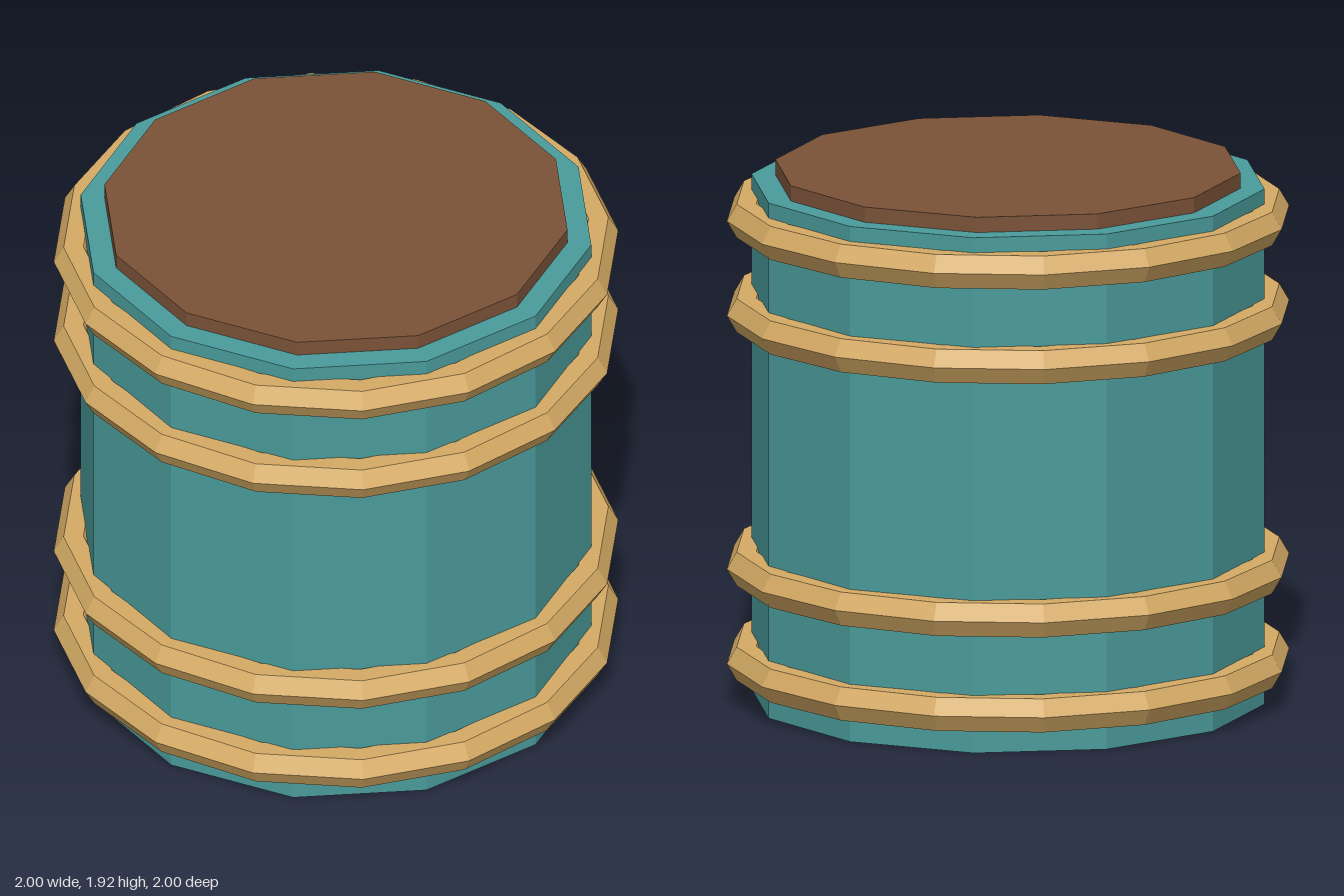
import * as THREE from 'three';

const material = (color) => new THREE.MeshStandardMaterial({ color, flatShading: true });

export function createModel() {
  const group = new THREE.Group();
  const teal = material(0x4a9a9a);
  const brown = material(0x7a5238);
  const gold = material(0xd4aa64);

  const add = (name, geometry, mat, y) => {
    const mesh = new THREE.Mesh(geometry, mat);
    mesh.name = name;
    mesh.position.y = y;
    group.add(mesh);
  };

  // Twelve-sided barrel body and the smaller lid on top
  const bodyHeight = 1.863, lidHeight = 0.055;
  add('body', new THREE.CylinderGeometry(0.913, 0.913, bodyHeight, 12), teal, bodyHeight / 2);
  add('lid', new THREE.CylinderGeometry(0.828, 0.828, lidHeight, 12), brown, bodyHeight + lidHeight / 2);

  // Four hoops with a hexagonal section, in pairs near the bottom and top
  const hoop = new THREE.TorusGeometry(0.93, 0.07, 6, 16).rotateX(Math.PI / 2);
  [0.147, 0.49, 1.406, 1.748].forEach((y, i) => add(`hoop${i + 1}`, hoop, gold, y));

  return group;
}
